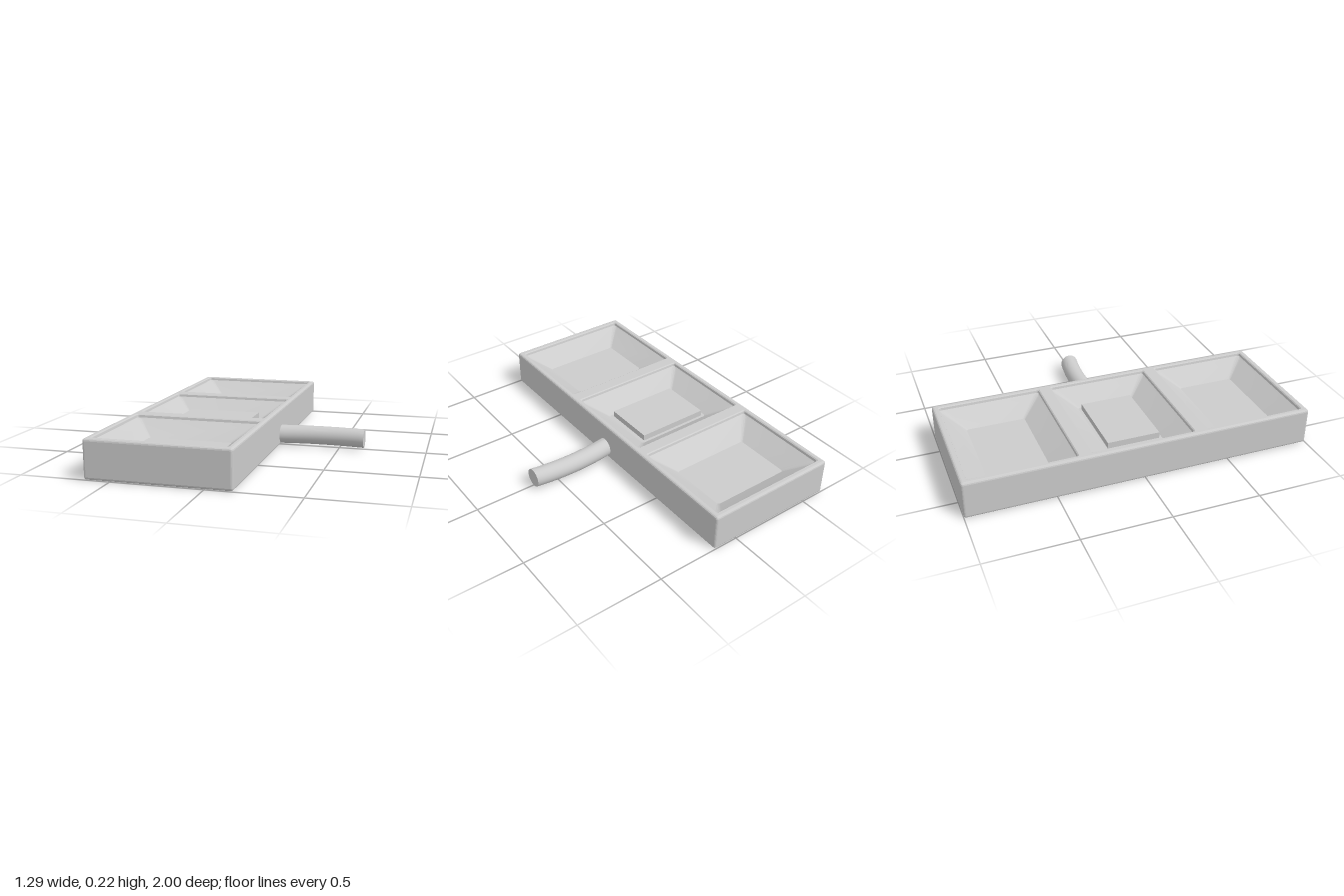
import * as THREE from 'three';
import { toCreasedNormals } from 'three/addons/utils/BufferGeometryUtils.js';

const grey = new THREE.MeshStandardMaterial({ color: 0xcccccc });
const CX = -0.248; // tray centre in x

// Rounded rectangle at height y, anticlockwise seen from above
function roundRect(cx, cz, halfX, halfZ, r, y, steps = 4) {
  const pts = [];
  for (let c = 0; c < 4; c++) {
    const sx = c === 0 || c === 3 ? 1 : -1, sz = c < 2 ? -1 : 1;
    for (let i = 0; i <= steps; i++) {
      const a = (c + i / steps) * Math.PI / 2;
      pts.push(new THREE.Vector3(
        cx + sx * (halfX - r) + r * Math.cos(a), y,
        cz + sz * (halfZ - r) - r * Math.sin(a)));
    }
  }
  return pts;
}

// Skin through rings [halfX, halfZ, radius, y, z]; a ring of zero size closes the skin
function loft(rings) {
  const loops = rings.map(([hx, hz, r, y, z]) => roundRect(CX, z, hx, hz, r, y));
  const pos = [], tri = new THREE.Triangle();
  const add = (a, b, c) => {
    if (tri.set(a, b, c).getArea() > 1e-9) for (const p of [a, b, c]) pos.push(p.x, p.y, p.z);
  };
  for (let i = 0; i + 1 < loops.length; i++) {
    const lo = loops[i], hi = loops[i + 1], n = lo.length;
    for (let j = 0; j < n; j++) {
      const k = (j + 1) % n;
      add(lo[j], lo[k], hi[k]);
      add(lo[j], hi[k], hi[j]);
    }
  }
  const geo = new THREE.BufferGeometry();
  geo.setAttribute('position', new THREE.Float32BufferAttribute(pos, 3));
  return toCreasedNormals(geo, 0.15);
}

export function createModel() {
  const group = new THREE.Group();
  const add = (name, geo) => {
    const mesh = new THREE.Mesh(geo, grey);
    mesh.name = name;
    group.add(mesh);
    return mesh;
  };

  // Outer shell with softened edges, open at the top
  const HX = 0.397, HZ = 1, R = 0.014, BOTTOM = 0.003, TOP = 0.22;
  const shell = [[0, 0, 0, BOTTOM, 0]];
  for (const end of [0, 1]) {
    for (let i = 0; i <= 3; i++) {
      const a = (end ? i / 3 : i / 3 - 1) * Math.PI / 2;
      const inset = R * (1 - Math.cos(a));
      const y = (end ? TOP - R : BOTTOM + R) + R * Math.sin(a);
      shell.push([HX - inset, HZ - inset, R - inset, y, 0]);
    }
  }
  add('trayShell', loft(shell));

  // Compartments: flat rim, short lip, sloping walls and a flat floor
  const PITCH = 0.668, BX = 0.369, BZ = 0.301, BR = 0.012, FLOOR = 0.118;
  for (const side of [-1, 0, 1]) {
    const z = side * PITCH;
    const inner = PITCH / 2, outer = HZ - R;
    const rimHalf = side ? (outer - inner) / 2 : inner;
    add('compartment' + (side + 2), loft([
      [HX - R, rimHalf, 0, TOP, side * (outer + inner) / 2],
      [BX, BZ, BR, TOP, z],
      [BX - 0.006, BZ - 0.006, BR, TOP - 0.005, z],
      [BX - 0.009, BZ - 0.009, BR, TOP - 0.018, z],
      [BX - 0.02, BZ - 0.02, 0.03, TOP - 0.026, z],
      [BX - 0.129, BZ - 0.131, 0.015, FLOOR, z],
      [0, 0, 0, FLOOR, z],
    ]));
  }

  // Slab lying in the middle compartment
  add('slab', new THREE.BoxGeometry(0.436, 0.04, 0.307)).position.set(CX, 0.134, 0);

  // Gently bowed handle
  const X0 = 0.142, X1 = 0.644;
  const handle = new THREE.CylinderGeometry(0.054, 0.054, X1 - X0, 32, 16)
    .rotateZ(-Math.PI / 2).translate((X0 + X1) / 2, 0.064, 0);
  const p = handle.attributes.position;
  for (let i = 0; i < p.count; i++) {
    const t = (p.getX(i) - 0.4) / 0.245;
    p.setZ(i, p.getZ(i) - 0.029 + 0.02 * t * t);
  }
  add('handle', toCreasedNormals(handle, 0.7));

  return group;
}
